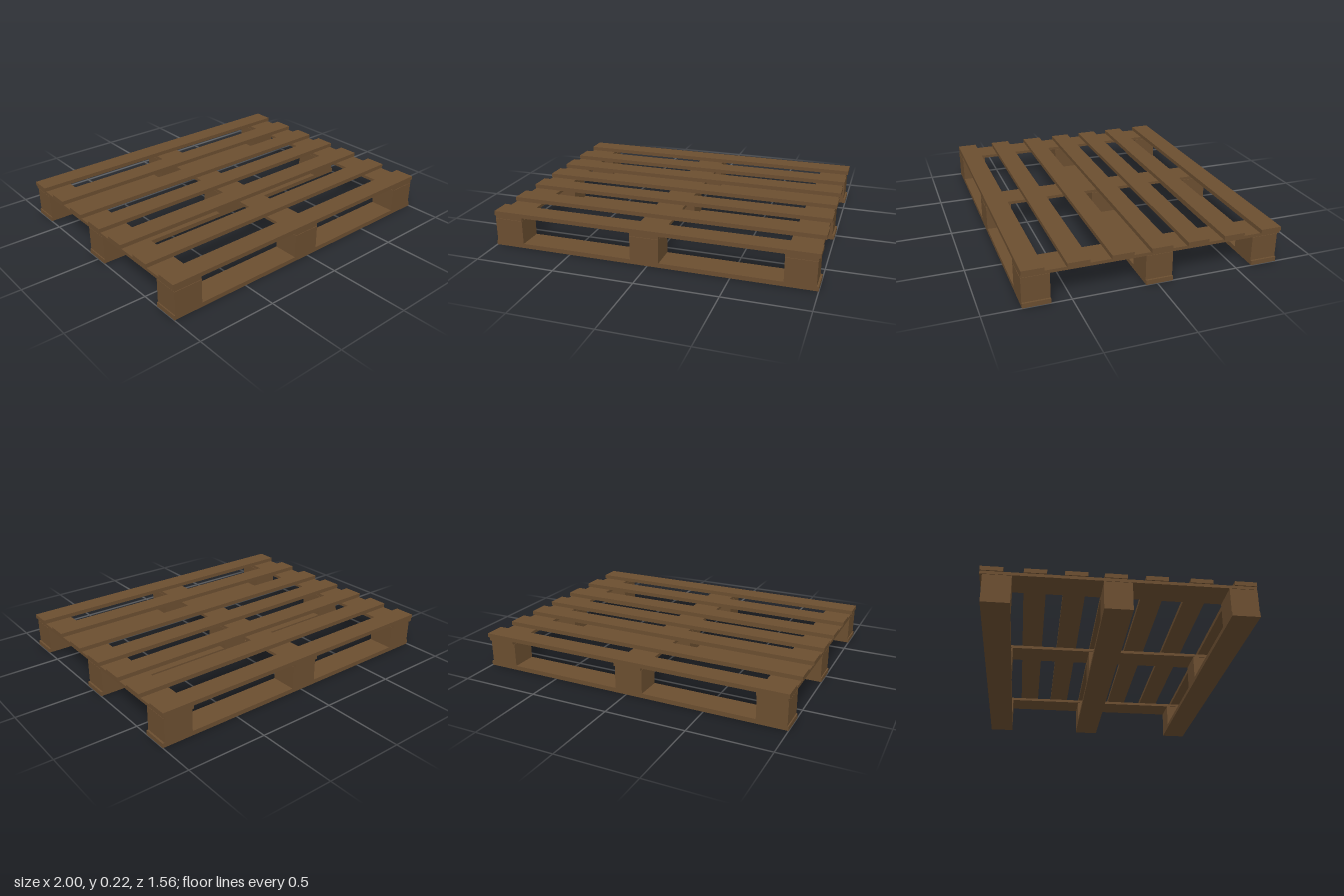
import * as THREE from 'three';

export function createModel() {
  const group = new THREE.Group();
  group.name = 'pallet';
  const wood = new THREE.MeshStandardMaterial({ color: 0x6b4e30, flatShading: true });

  // Plank or block given by its limits on each axis
  function board(name, [x0, x1], [y0, y1], [z0, z1]) {
    const mesh = new THREE.Mesh(new THREE.BoxGeometry(x1 - x0, y1 - y0, z1 - z0), wood);
    mesh.position.set((x0 + x1) / 2, (y0 + y1) / 2, (z0 + z1) / 2);
    mesh.name = name;
    group.add(mesh);
  }

  const full = [-1, 1];
  const columns = [[-0.993, -0.813], [-0.107, 0.071], [0.806, 0.988]];
  const rows = [[-0.763, -0.601], [-0.095, 0.067], [0.617, 0.778]];

  // Seven deck boards across the top
  [-0.714, -0.474, -0.247, -0.026, 0.206, 0.460, 0.713].forEach((z, i) =>
    board(`deckBoard${i + 1}`, full, [0.198, 0.224], [z - 0.064, z + 0.064]));

  // Stringer boards running front to back under the deck
  columns.forEach((x, i) => board(`stringerBoard${i + 1}`, x, [0.179, 0.198], [-0.778, 0.777]));

  // Bottom boards, each carrying three spacer blocks
  rows.forEach((z, r) => {
    board(`bottomBoard${r + 1}`, full, [0, 0.028], z);
    columns.forEach((x, c) => board(`block${r + 1}_${c + 1}`, x, [0.028, 0.177], z));
  });

  return group;
}
